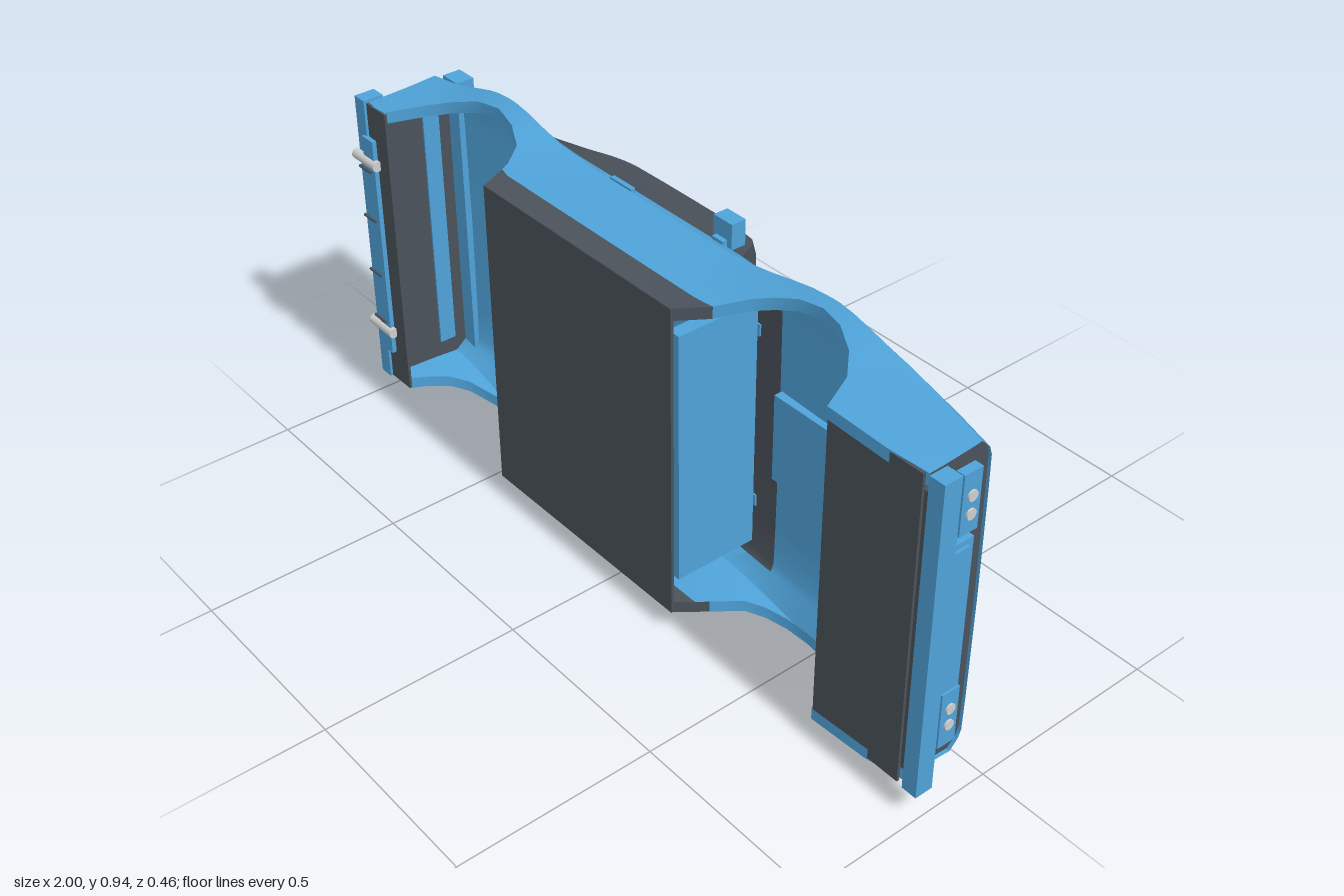
import * as THREE from 'three';
import { toCreasedNormals } from 'three/addons/utils/BufferGeometryUtils.js';

const mat = (name, color, side = THREE.FrontSide) => {
  const m = new THREE.MeshStandardMaterial({ color, side });
  m.name = name;
  return m;
};

// Piecewise-linear lookup through [x, value] pairs
const lookup = (table, x) => {
  if (x <= table[0][0]) return table[0][1];
  for (let i = 1; i < table.length; i++) {
    const [x0, v0] = table[i - 1], [x1, v1] = table[i];
    if (x <= x1) return v0 + (v1 - v0) * (x - x0) / (x1 - x0);
  }
  return table[table.length - 1][1];
};

// Centreline of trunk, roof and hood
const TOP = [[-0.95, 0.042], [-0.8, 0.06], [-0.68, 0.075], [-0.6, 0.088], [-0.55, 0.112], [-0.52, 0.15],
  [-0.48, 0.197], [-0.45, 0.217], [-0.42, 0.226], [-0.3, 0.23], [-0.12, 0.23], [-0.04, 0.222], [0.02, 0.207],
  [0.05, 0.18], [0.1, 0.105], [0.13, 0.075], [0.16, 0.054], [0.2, 0.047], [0.29, 0.043], [0.5, 0.036],
  [0.7, 0.024], [0.85, 0.0], [0.95, -0.022]];
// Lower edge with the wheel arches
const BOTTOM = [[-0.95, -0.2], [-0.87, -0.2], [-0.85, -0.155], [-0.82, -0.105], [-0.78, -0.07], [-0.71, -0.04],
  [-0.63, -0.032], [-0.56, -0.045], [-0.5, -0.075], [-0.46, -0.13], [-0.42, -0.222], [0.24, -0.222],
  [0.29, -0.155], [0.33, -0.085], [0.37, -0.055], [0.42, -0.034], [0.48, -0.027], [0.54, -0.036],
  [0.6, -0.068], [0.65, -0.12], [0.69, -0.21], [0.85, -0.208], [0.95, -0.195]];

// Half cross-section [height, half width], from the inner sill lip to the centreline
function section(x) {
  const top = lookup(TOP, x), bottom = lookup(BOTTOM, x);
  const bump = (c, s) => Math.exp(-(((x - c) / s) ** 2));
  const end = Math.max(0, Math.abs(x) - 0.75) * 0.07;
  const wide = 0.42 - end + 0.052 * bump(-0.63, 0.17) + 0.045 * bump(0.48, 0.19);
  const shoulder = Math.min(0, top - 0.035);
  const belt = Math.min(0.038, top - 0.012);
  const cabin = Math.max(0, (top - 0.05) / 0.18);
  const sideWidth = (h) => {
    const t = Math.min(1, Math.max(0, (h + 0.22) / (shoulder + 0.22)));
    return 0.412 - end + (wide - 0.412 + end) * t * t;
  };
  const low = Math.max(bottom, -0.16), mid = Math.max(bottom, -0.08);
  return [
    [bottom, sideWidth(bottom) - 0.03], [bottom, sideWidth(bottom)], [low, sideWidth(low)],
    [mid, sideWidth(mid)], [shoulder, wide], [belt, 0.397 - end],
    [top - 0.004 - 0.012 * cabin, 0.375 - end - 0.07 * cabin], [top - 0.002, 0.27], [top, 0],
  ];
}

const between = (x, a, b) => x > a && x < b;
function isDark(x, row) {
  if (row <= 1) return between(x, -0.46, 0.29);                  // sills
  if (row === 5 && between(x, -0.55, 0.16)) return true;         // side glass
  if (row >= 5 && between(x, 0.02, 0.29)) return true;           // windshield and cowl
  return row === 7 && between(x, -0.68, -0.42);                  // rear window
}

function bodyGeometry() {
  const xs = [...new Set([...TOP, ...BOTTOM].map((p) => p[0]))].sort((a, b) => a - b);
  const faces = [[], []];
  for (let i = 0; i + 1 < xs.length; i++) {
    const a = section(xs[i]), b = section(xs[i + 1]);
    for (let r = 0; r + 1 < a.length; r++) {
      const out = faces[isDark((xs[i] + xs[i + 1]) / 2, r) ? 1 : 0];
      for (const s of [1, -1]) {
        const A = [xs[i], a[r][0], s * a[r][1]], B = [xs[i + 1], b[r][0], s * b[r][1]];
        const C = [xs[i + 1], b[r + 1][0], s * b[r + 1][1]], D = [xs[i], a[r + 1][0], s * a[r + 1][1]];
        out.push(...(s > 0 ? [A, B, C, A, C, D] : [A, C, B, A, D, C]).flat());
      }
    }
  }
  const g = new THREE.BufferGeometry();
  g.setAttribute('position', new THREE.Float32BufferAttribute(faces[0].concat(faces[1]), 3));
  const smooth = toCreasedNormals(g, 0.6);
  smooth.clearGroups();
  smooth.addGroup(0, faces[0].length / 3, 0);
  smooth.addGroup(faces[0].length / 3, faces[1].length / 3, 1);
  return smooth;
}

export function createModel() {
  const blue = mat('body blue', 0x4fa3d9);
  const blueShell = mat('shell blue', 0x4fa3d9, THREE.DoubleSide);
  const dark = mat('dark grey', 0x4b525b, THREE.DoubleSide);
  const red = mat('lamp red', 0xd04a55);
  const pale = mat('pale grey', 0xcfcfcf);

  const model = new THREE.Group();
  const car = new THREE.Group();
  car.name = 'car';
  car.rotation.x = -Math.PI / 2; // the car lies on its side
  car.position.y = 0.473;
  model.add(car);

  const add = (name, geometry, material) => {
    const m = new THREE.Mesh(geometry, material);
    m.name = name;
    car.add(m);
    return m;
  };
  // Box from its limits: length x, height y, width z
  const box = (name, material, x0, x1, y0, y1, z0, z1) =>
    add(name, new THREE.BoxGeometry(x1 - x0, y1 - y0, z1 - z0), material)
      .position.set((x0 + x1) / 2, (y0 + y1) / 2, (z0 + z1) / 2);
  const rod = (name, material, r, x0, x1, y, z) => {
    const m = add(name, new THREE.CylinderGeometry(r, r, x1 - x0, 16), material);
    m.rotation.z = Math.PI / 2;
    m.position.set((x0 + x1) / 2, y, z);
  };

  add('bodyShell', bodyGeometry(), [blueShell, dark]);

  // Dark end panels closing the shell
  for (const x of [-0.945, 0.94]) {
    const half = section(x).slice(1);
    const outline = [...half, ...half.slice(0, -1).reverse().map(([h, w]) => [h, -w])];
    const panel = add(x > 0 ? 'grillePanel' : 'tailPanel',
      new THREE.ShapeGeometry(new THREE.Shape(outline.map(([h, w]) => new THREE.Vector2(-w, h)))), dark);
    panel.rotation.y = Math.PI / 2;
    panel.position.x = x;
  }

  // Floor
  box('cabinFloor', dark, -0.42, 0.24, -0.226, -0.218, -0.412, 0.412);
  box('frontFloor', dark, 0.69, 0.945, -0.207, -0.2, -0.4, 0.4);
  box('rearFloor', dark, -0.945, -0.865, -0.203, -0.196, -0.4, 0.4);
  box('firewall', blue, 0.2, 0.235, -0.2, 0.02, -0.33, 0.33);

  // Front end
  box('frontBumper', blue, 0.96, 1, -0.207, -0.16, -0.405, 0.405);
  box('frontBumperMount', dark, 0.93, 0.965, -0.2, -0.165, -0.36, 0.36);
  box('grille', blue, 0.93, 0.965, -0.14, -0.07, -0.195, 0.195);
  box('grilleInset', blue, 0.96, 0.972, -0.132, -0.085, -0.182, 0.182);

  // Hood scoop with three intakes
  box('scoopBase', blue, 0.295, 0.6, 0.02, 0.062, -0.115, 0.115);
  box('scoopTop', blue, 0.33, 0.59, 0.06, 0.098, -0.09, 0.09);
  for (const z of [-0.05, 0, 0.05]) rod('scoopIntake', red, 0.014, 0.585, 0.594, 0.077, z);

  // Rear end
  box('spoiler', blue, -0.96, -0.9, 0.03, 0.08, -0.395, 0.395);
  box('rearBumper', blue, -0.99, -0.95, -0.207, -0.152, -0.405, 0.405);
  box('rearValance', blue, -0.96, -0.915, -0.215, -0.19, -0.31, 0.31);
  box('tailLampBar', blue, -0.968, -0.94, -0.05, -0.004, -0.36, 0.36);
  for (const z of [-0.22, -0.08, 0.08, 0.22]) rod('valanceBolt', dark, 0.004, -0.98, -0.93, -0.217, z);

  // Slats behind the rear window
  for (const x of [-0.62, -0.56, -0.51, -0.46]) {
    const h = lookup(TOP, x + 0.02) - 0.03;
    box('rearSlat', blue, x - 0.02, x + 0.022, Math.min(h, lookup(TOP, x - 0.02) - 0.02) - 0.008,
      Math.min(h, lookup(TOP, x - 0.02) - 0.02), -0.255, 0.255);
  }

  // Mirrored details
  for (const s of [1, -1]) {
    const pair = (name, m, x0, x1, y0, y1, z0, z1) =>
      box(name, m, x0, x1, y0, y1, Math.min(s * z0, s * z1), Math.max(s * z0, s * z1));
    pair('headlampPanel', blue, 0.93, 0.962, -0.11, -0.06, 0.207, 0.357);
    for (const z of [0.255, 0.3]) rod('headlamp', pale, 0.013, 0.958, 0.967, -0.085, s * z);
    pair('tailLamp', red, -0.973, -0.966, -0.042, -0.012, 0.22, 0.345);
    rod('exhaustPipe', pale, 0.014, -1, -0.905, -0.211, s * 0.245);
    pair('mirror', blue, 0.06, 0.12, 0.043, 0.082, 0.39, 0.454);
    pair('mirrorStem', blue, 0.07, 0.105, 0.03, 0.055, 0.375, 0.41);
    pair('doorHandle', blue, -0.255, -0.18, 0.006, 0.018, 0.4, 0.422);
    pair('wiperMount', blue, 0.18, 0.22, 0.04, 0.056, 0.22, 0.25);
  }
  return model;
}
